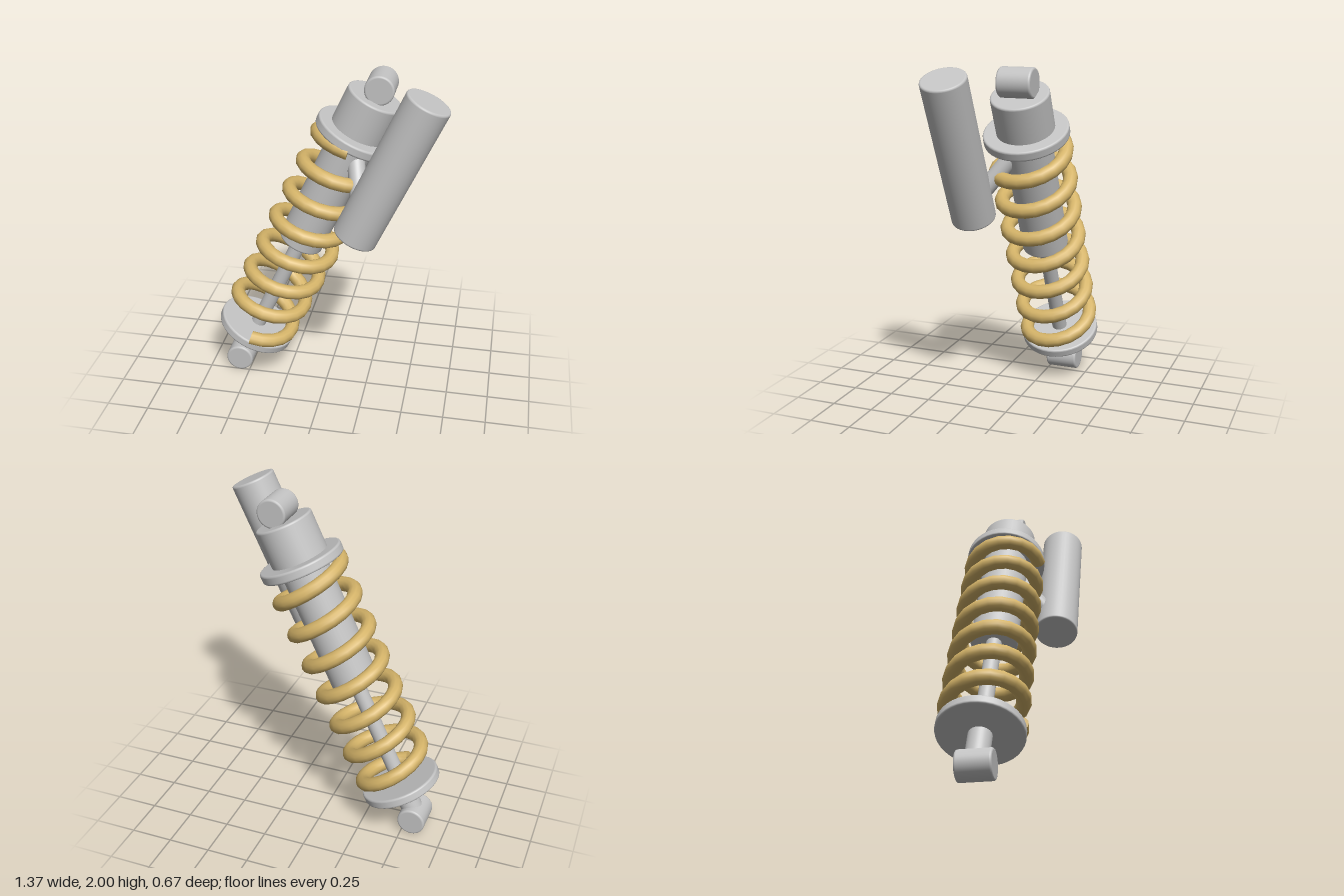
import * as THREE from 'three';

const metal = new THREE.MeshStandardMaterial({ color: 0xc3c3c3 });
metal.name = 'light grey metal';
const gold = new THREE.MeshStandardMaterial({ color: 0xd5b469 });
gold.name = 'gold spring';

// Closed cylinder from height y0 to y1 with softly rounded rims
function roundedCylinder(name, r, y0, y1, b = 0.01) {
  const pts = [new THREE.Vector2(0, y0), new THREE.Vector2(r - b - 0.002, y0)];
  for (let i = 0; i <= 3; i++) {
    const a = (i / 3) * Math.PI / 2;
    pts.push(new THREE.Vector2(r - b + b * Math.sin(a), y0 + b - b * Math.cos(a)));
  }
  pts.push(new THREE.Vector2(r, y0 + b + 0.002), new THREE.Vector2(r, y1 - b - 0.002));
  for (let i = 0; i <= 3; i++) {
    const a = (i / 3) * Math.PI / 2;
    pts.push(new THREE.Vector2(r - b + b * Math.cos(a), y1 - b + b * Math.sin(a)));
  }
  pts.push(new THREE.Vector2(r - b - 0.002, y1), new THREE.Vector2(0, y1));
  const mesh = new THREE.Mesh(new THREE.LatheGeometry(pts, 40), metal);
  mesh.name = name;
  return mesh;
}

// Spring centre line: starts and ends at the front, seven turns
class Helix extends THREE.Curve {
  getPoint(t, target = new THREE.Vector3()) {
    const a = t * 14 * Math.PI;
    return target.set(0.205 * Math.sin(a), 0.266 + 1.4 * t, 0.205 * Math.cos(a));
  }
}

function createSpring() {
  const spring = new THREE.Group();
  spring.name = 'coilSpring';
  const path = new Helix();
  const coil = new THREE.Mesh(new THREE.TubeGeometry(path, 140, 0.042, 12), gold);
  coil.name = 'springCoil';
  spring.add(coil);
  // Cut ends of the wire
  for (const t of [0, 1]) {
    const end = new THREE.Mesh(new THREE.CircleGeometry(0.042, 12), gold);
    end.name = t ? 'springTopEnd' : 'springBottomEnd';
    const dir = path.getTangent(t).multiplyScalar(t ? 1 : -1);
    end.position.copy(path.getPoint(t));
    end.quaternion.setFromUnitVectors(new THREE.Vector3(0, 0, 1), dir);
    spring.add(end);
  }
  return spring;
}

export function createModel() {
  const model = new THREE.Group();
  model.name = 'shockAbsorber';

  // Everything is built upright from the lower eye, then leaned over
  const strut = new THREE.Group();
  strut.name = 'strut';
  strut.position.set(-0.56, 0.085, -0.09);
  strut.rotation.z = -0.4325;
  model.add(strut);

  // Mounting eyes, lying front to back
  for (const [name, y] of [['lowerEye', 0], ['upperEye', 2.016]]) {
    const eye = roundedCylinder(name, 0.083, -0.097, 0.097);
    eye.rotation.x = Math.PI / 2;
    eye.position.y = y;
    strut.add(eye);
  }

  // Parts stacked along the axis
  strut.add(
    roundedCylinder('lowerStub', 0.065, 0.02, 0.23, 0.005),
    roundedCylinder('lowerSpringSeat', 0.237, 0.203, 0.258),
    roundedCylinder('pistonRod', 0.045, 0.22, 1.0, 0.005),
    roundedCylinder('damperBody', 0.135, 0.92, 1.7),
    roundedCylinder('upperSpringSeat', 0.24, 1.67, 1.727),
    roundedCylinder('topCap', 0.163, 1.71, 1.947),
  );

  // Side reservoir and the pipe joining it to the body
  const reservoir = roundedCylinder('reservoir', 0.127, 1.27, 2.168);
  reservoir.position.set(0.246, 0, 0.3);
  strut.add(reservoir);

  const from = new THREE.Vector3(0, 1.665, 0);
  const span = new THREE.Vector3(0.246, 1.36, 0.3).sub(from);
  const pipe = roundedCylinder('reservoirPipe', 0.05, 0, span.length(), 0.005);
  pipe.position.copy(from);
  pipe.quaternion.setFromUnitVectors(new THREE.Vector3(0, 1, 0), span.normalize());
  strut.add(pipe);

  strut.add(createSpring());
  return model;
}
